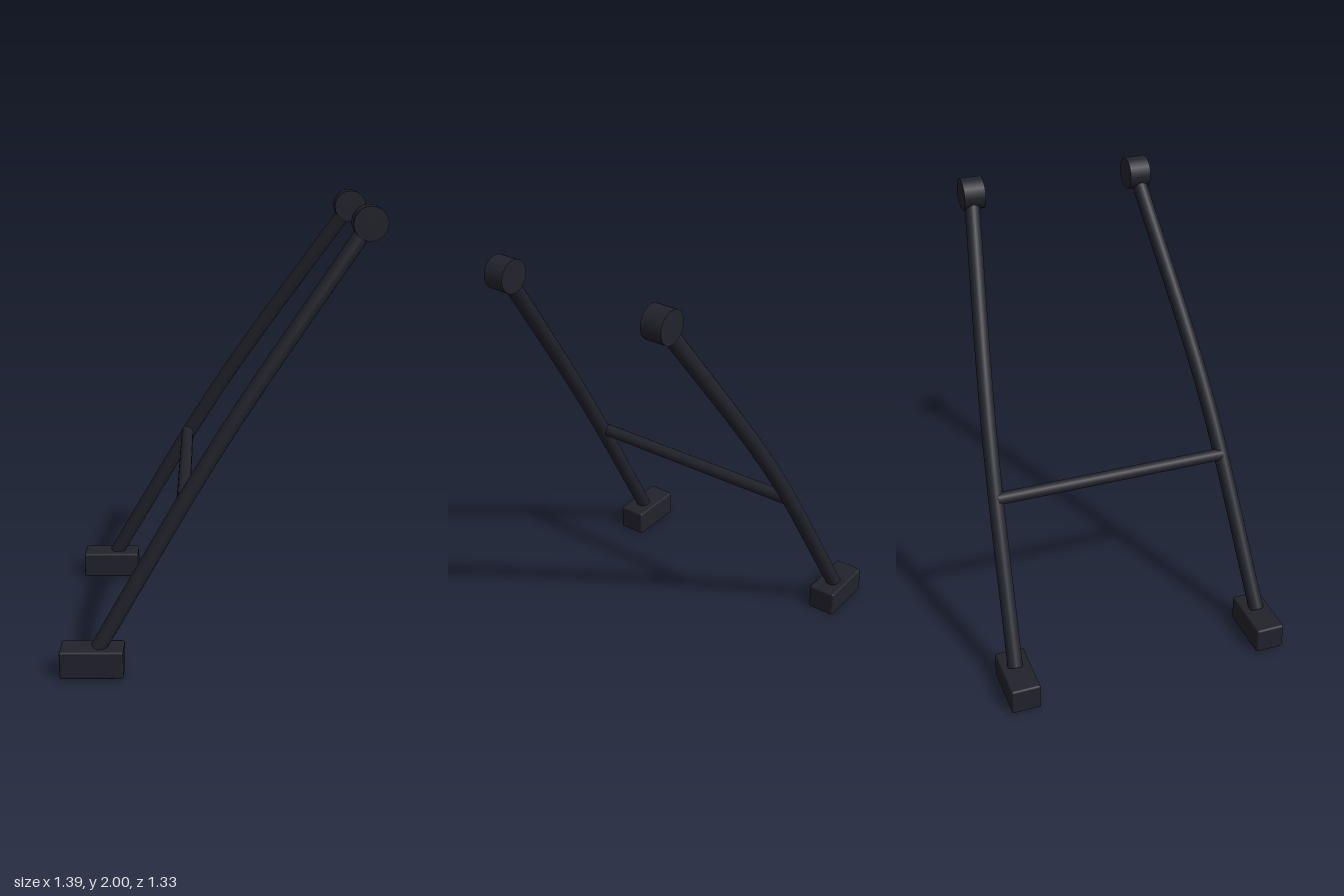
import * as THREE from 'three';
import { RoundedBoxGeometry } from 'three/addons/geometries/RoundedBoxGeometry.js';

export function createModel() {
  const model = new THREE.Group();
  model.name = 'tubularStand';
  const darkMetal = new THREE.MeshStandardMaterial({ color: 0x22222c });
  darkMetal.name = 'darkMetal';

  const add = (parent, name, geometry, x = 0, y = 0, z = 0) => {
    const mesh = new THREE.Mesh(geometry, darkMetal);
    mesh.name = name;
    mesh.position.set(x, y, z);
    parent.add(mesh);
    return mesh;
  };

  for (const side of [1, -1]) {
    const leg = new THREE.Group();
    leg.name = side > 0 ? 'frontLeg' : 'backLeg';
    model.add(leg);

    // Foot block with softened edges
    add(leg, 'foot', new RoundedBoxGeometry(0.276, 0.125, 0.136, 2, 0.01), -0.557, 0.0625, side * 0.597);

    // Gently bowed leg tube
    const path = new THREE.CatmullRomCurve3([
      new THREE.Vector3(-0.53, 0.12, side * 0.6),
      new THREE.Vector3(0, 1.02, side * 0.53),
      new THREE.Vector3(0.62, 1.927, side * 0.4),
    ]);
    add(leg, 'legTube', new THREE.TubeGeometry(path, 32, 0.035, 16));
    // Disc closing the tube where it meets the foot
    const cap = add(leg, 'tubeEnd', new THREE.CircleGeometry(0.035, 16), -0.53, 0.12, side * 0.6);
    cap.lookAt(cap.position.clone().sub(path.getTangent(0)));

    // Pivot barrel at the top
    const barrel = new THREE.CylinderGeometry(0.073, 0.073, 0.098, 20).rotateX(Math.PI / 2);
    add(leg, 'pivotBarrel', barrel, 0.62, 1.927, side * 0.399);
  }

  // Cross bar joining the legs
  const bar = new THREE.CylinderGeometry(0.029, 0.029, 1.1, 16).rotateX(Math.PI / 2);
  add(model, 'crossBar', bar, -0.157, 0.782, 0);

  return model;
}
